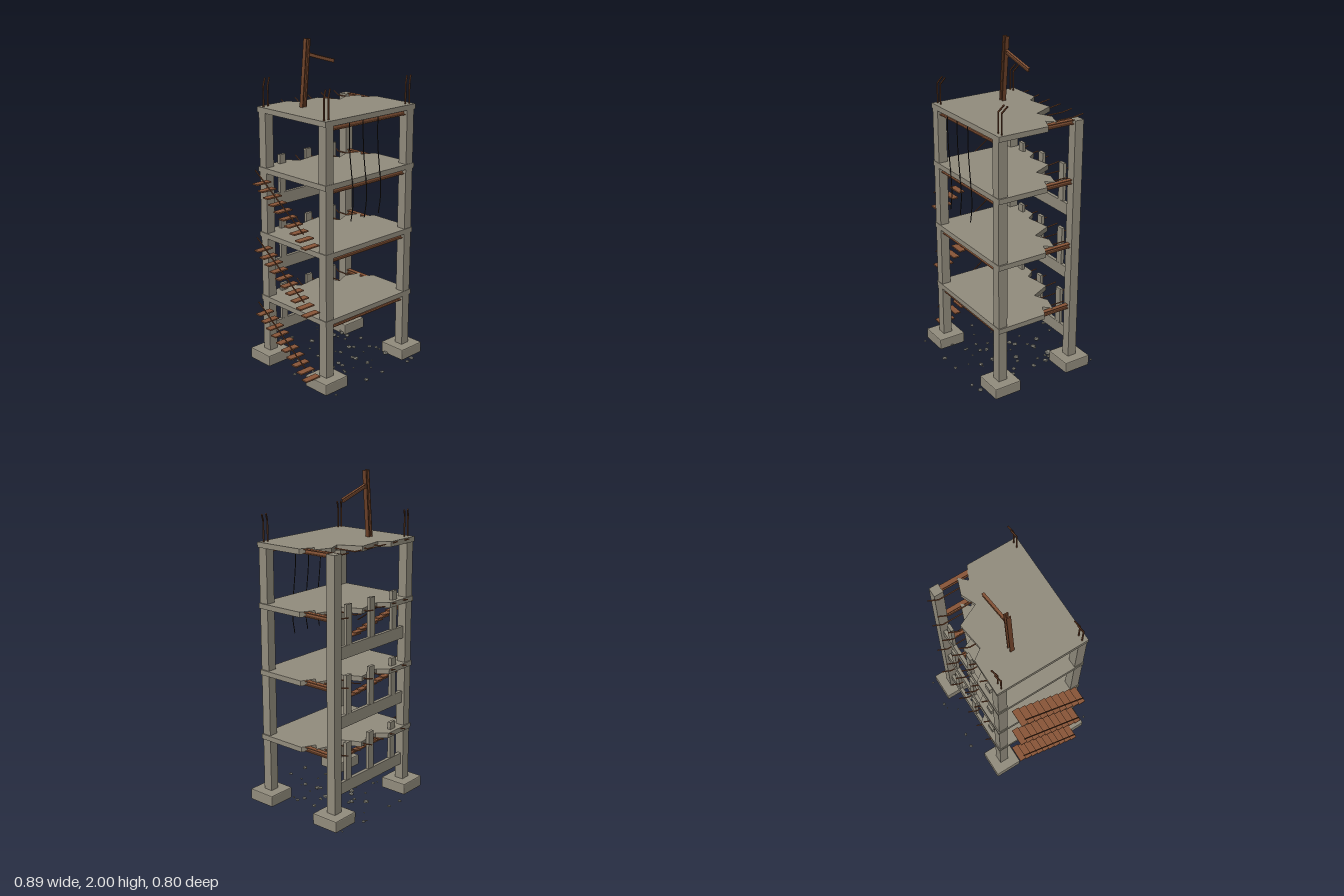
import * as THREE from 'three';
import { RoundedBoxGeometry } from 'three/addons/geometries/RoundedBoxGeometry.js';

const mat = (color) => new THREE.MeshStandardMaterial({ color, flatShading: true });
const concrete = mat(0x938d7e);
const rust = mat(0x8a5638);
const darkRust = mat(0x6e4229);
const cableMat = mat(0x2a2522);
const stone = mat(0x85847c);

export function createModel() {
  const model = new THREE.Group();

  const add = (name, geometry, material, x = 0, y = 0, z = 0) => {
    const mesh = new THREE.Mesh(geometry, material);
    mesh.name = name;
    mesh.position.set(x, y, z);
    model.add(mesh);
    return mesh;
  };
  const box = (name, x0, x1, y0, y1, z0, z1, material) =>
    add(name, new THREE.BoxGeometry(x1 - x0, y1 - y0, z1 - z0), material,
      (x0 + x1) / 2, (y0 + y1) / 2, (z0 + z1) / 2);

  // Bent rod: straight pieces through the given points
  const rod = (name, points, radius, material) => {
    const path = new THREE.CurvePath();
    const v = points.map((p) => new THREE.Vector3(...p));
    for (let i = 1; i < v.length; i++) path.add(new THREE.LineCurve3(v[i - 1], v[i]));
    for (let i = 1; i < v.length; i++) {
      const length = v[i].distanceTo(v[i - 1]);
      const mesh = add(name, new THREE.CylinderGeometry(radius, radius, length + radius * 0.6, 6), material);
      mesh.position.copy(v[i]).add(v[i - 1]).multiplyScalar(0.5);
      mesh.quaternion.setFromUnitVectors(new THREE.Vector3(0, 1, 0), v[i].clone().sub(v[i - 1]).normalize());
    }
  };

  // Steel section with two flanges and a web, running from a to b
  const steelBeam = (name, a, b, w, h, material) => {
    const t = h * 0.2, s = w * 0.12;
    const half = [[-w / 2, -h / 2], [w / 2, -h / 2], [w / 2, -h / 2 + t], [s, -h / 2 + t], [s, h / 2 - t], [w / 2, h / 2 - t]];
    const outline = [...half, ...half.map(([x, y]) => [-x, -y])];
    // second half is the first turned by 180 degrees
    const shape = new THREE.Shape(outline.map(([x, y]) => new THREE.Vector2(x, y)));
    const from = new THREE.Vector3(...a), to = new THREE.Vector3(...b);
    const geometry = new THREE.ExtrudeGeometry(shape, { depth: from.distanceTo(to), bevelEnabled: false });
    const mesh = add(name, geometry, material, ...a);
    mesh.lookAt(to);
  };

  // Footings and columns
  const xl = -0.296, xr = 0.355, zf = 0.249, zb = -0.259;
  for (const x of [xl, xr]) {
    for (const z of [zf, zb]) {
      add('footing', new RoundedBoxGeometry(0.177, 0.07, 0.177, 1, 0.006), concrete, x, 0.045, z);
      box('column', x - 0.029, x + 0.029, 0.07, 1.605, z - 0.029, z + 0.029, concrete);
    }
  }

  // Broken floor slabs, with the torn edge at the back
  const slabOutline = [[-0.33, 0.281], [0.393, 0.281], [0.393, -0.04], [0.31, -0.08], [0.355, -0.125],
    [0.257, -0.16], [0.168, -0.122], [0.105, -0.256], [-0.06, -0.233], [-0.105, -0.295], [-0.33, -0.295]];
  const slabShape = new THREE.Shape(slabOutline.map(([x, z]) => new THREE.Vector2(x, -z)));
  const slabGeometry = new THREE.ExtrudeGeometry(slabShape, { depth: 0.031, bevelEnabled: false });
  slabGeometry.rotateX(-Math.PI / 2);

  // Exposed bars along the torn edge: x and where each leaves the slab
  const edgeBars = [[-0.24, -0.28], [-0.13, -0.25], [-0.023, -0.22], [0.085, -0.23], [0.194, -0.11], [0.302, -0.13]];

  [0.44, 0.848, 1.253, 1.611].forEach((top) => {
    add('floorSlab', slabGeometry, concrete, 0, top - 0.031, 0);
    steelBeam('frontBeam', [-0.268, top - 0.046, zf], [0.327, top - 0.046, zf], 0.03, 0.03, rust);
    steelBeam('sideBeam', [xr, top - 0.016, -0.232], [xr, top - 0.016, -0.04], 0.028, 0.027, rust);
    for (const [x, z] of edgeBars) {
      rod('edgeBar', [[x, top - 0.015, z], [x, top - 0.015, -0.275], [x + 0.018, top + 0.003, -0.332]], 0.004, rust);
    }
  });

  // Remains of the back wall: a low band and three posts on each storey
  for (const y of [0.178, 0.587, 0.999]) {
    box('wallBand', -0.268, 0.327, y, y + 0.074, -0.271, -0.249, concrete);
    for (const x of [-0.18, 0.029, 0.237]) {
      box('wallPost', x - 0.023, x + 0.023, y + 0.074, y + 0.309, -0.27, -0.25, concrete);
    }
  }

  // Bent bars rising out of three columns
  for (const [cx, cz] of [[xl, zf], [xr, zf], [xl, zb]]) {
    for (const dx of [-0.016, 0.017]) {
      const x = cx + dx, z = cz + 0.001;
      rod('columnBar', [[x, 1.6, z], [x, 1.73, z], [x + 0.028, 1.772, z - 0.018]], 0.005, darkRust);
    }
  }

  // Leaning steel post with a broken arm on the roof
  steelBeam('leaningPost', [-0.152, 1.6, -0.097], [-0.116, 2.0, -0.097], 0.026, 0.032, darkRust);
  steelBeam('brokenArm', [-0.115, 1.912, -0.097], [0.103, 1.849, -0.106], 0.016, 0.022, rust);

  // Cables hanging down the front
  for (const x of [-0.15, -0.042, 0.075]) {
    const curve = new THREE.CatmullRomCurve3([[0, 1.58], [0.004, 1.42], [0.02, 1.28], [0.033, 1.17], [0.031, 1.09], [0.016, 1.005]]
      .map(([dx, y]) => new THREE.Vector3(x + dx, y, 0.281)));
    add('hangingCable', new THREE.TubeGeometry(curve, 24, 0.003, 5), cableMat);
  }

  // Three flights of outside stairs, each with a handrail
  for (const y0 of [0.085, 0.493, 0.901]) {
    for (let i = 0; i < 10; i++) {
      const y = y0 + i * 0.0317, z = 0.22 - i * 0.0453;
      box('stairTread', -0.447, -0.341, y - 0.004, y + 0.004, z - 0.021, z + 0.021, rust);
    }
    rod('handrail', [[-0.444, y0 + 0.087, 0.222], [-0.444, y0 + 0.372, -0.184]], 0.004, darkRust);
  }

  // Rubble on the ground: some placed stones, the rest scattered
  let seed = 7;
  const rand = () => (seed = (seed * 16807) % 2147483647) / 2147483647;
  const stones = [[-0.105, -0.39, 0.012], [-0.015, -0.378, 0.012], [0.248, -0.393, 0.011], [0.215, -0.388, 0.006],
    [0.425, -0.378, 0.008], [0.165, -0.33, 0.006], [0.2, -0.215, 0.021], [-0.345, 0.02, 0.012], [-0.342, 0.377, 0.008],
    [-0.09, 0.375, 0.016], [0.045, 0.377, 0.011], [0.258, 0.388, 0.012], [0.32, 0.367, 0.015], [0.045, 0.283, 0.008]];
  for (let i = 0; i < 42; i++) stones.push([rand() * 0.56 - 0.24, rand() * 0.5 - 0.24, 0.006 + rand() * 0.011]);
  for (const [x, z, r] of stones) {
    const mesh = add('rubble', new THREE.DodecahedronGeometry(r), stone, x, 0.014 + rand() * 0.014, z);
    mesh.scale.set(0.8 + rand() * 0.4, 0.6, 0.8 + rand() * 0.4);
    mesh.rotation.y = rand() * Math.PI;
    mesh.position.y = Math.max(mesh.position.y, r * 0.6);
  }

  return model;
}
